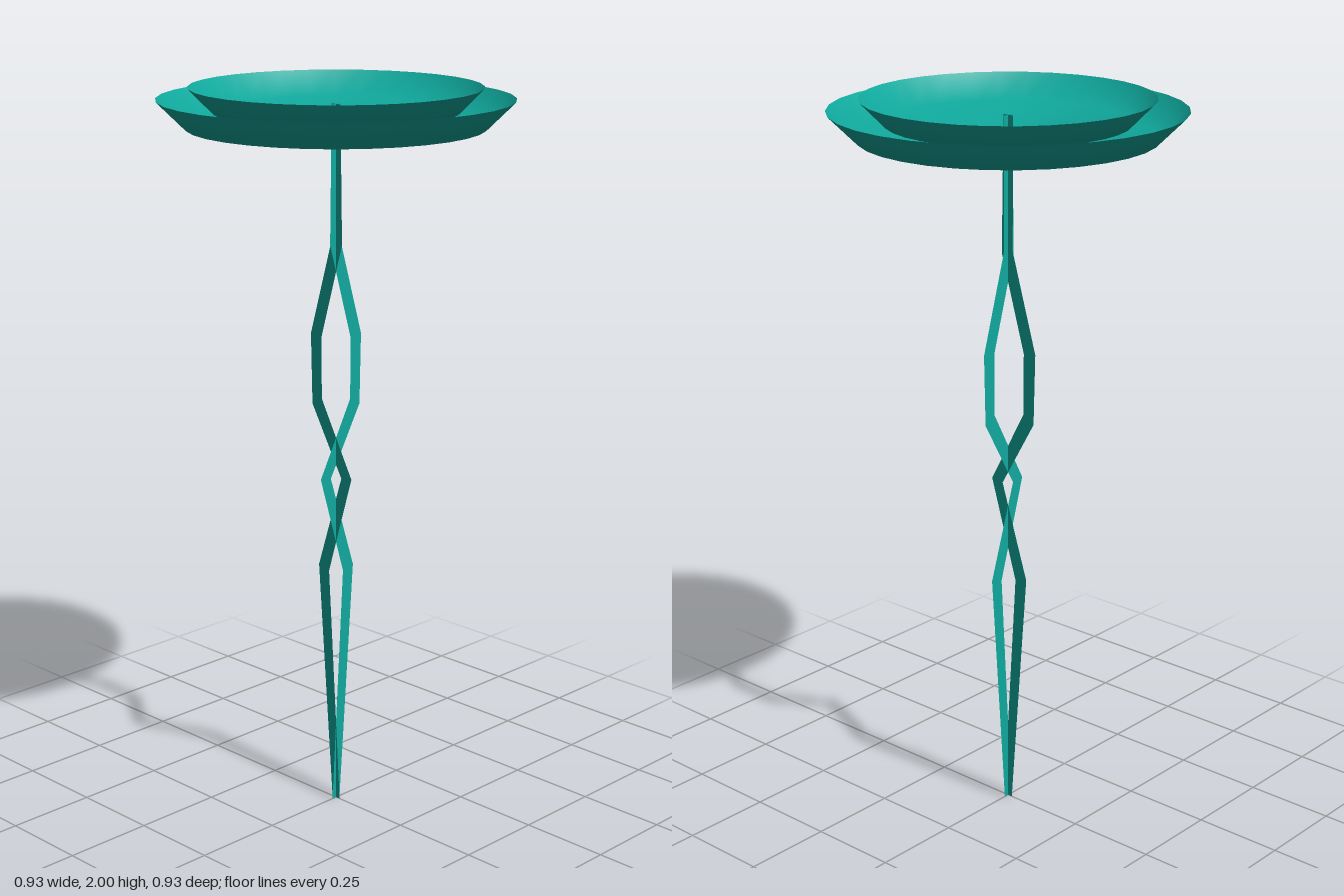
import * as THREE from 'three';

export function createModel() {
  const group = new THREE.Group();
  const material = new THREE.MeshStandardMaterial({ color: 0x10a89c, side: THREE.DoubleSide });

  const add = (name, geometry) => {
    const mesh = new THREE.Mesh(geometry, material);
    mesh.name = name;
    group.add(mesh);
    return mesh;
  };

  // Two nested open dishes, profiles as [radius, height] from centre to rim
  const dish = (name, profile) =>
    add(name, new THREE.LatheGeometry(profile.map(([r, y]) => new THREE.Vector2(r, y)), 32));
  dish('lowerDish', [[0, 1.88], [0.39, 1.896], [0.465, 1.97]]);
  dish('upperDish', [[0, 1.908], [0.318, 1.935], [0.382, 2]]);

  // Crooked stem: two flat crossed strips, outlined up the left edge and down the right
  const left = [[-0.014, 0], [-0.066, 0.685], [0.02, 0.95], [-0.09, 1.14],
    [-0.095, 1.335], [-0.016, 1.6], [-0.016, 1.955]];
  const right = [[0.014, 0], [-0.027, 0.675], [0.058, 0.955], [-0.054, 1.16],
    [-0.055, 1.33], [0.022, 1.59], [0.016, 1.955]];
  const outline = [...left, ...right.reverse()].map(([x, y]) => new THREE.Vector2(x, y));
  const strip = new THREE.ShapeGeometry(new THREE.Shape(outline));
  add('stemStripAcross', strip);
  // The second strip bends the same way along z
  add('stemStripDeep', strip).rotation.y = -Math.PI / 2;

  return group;
}
